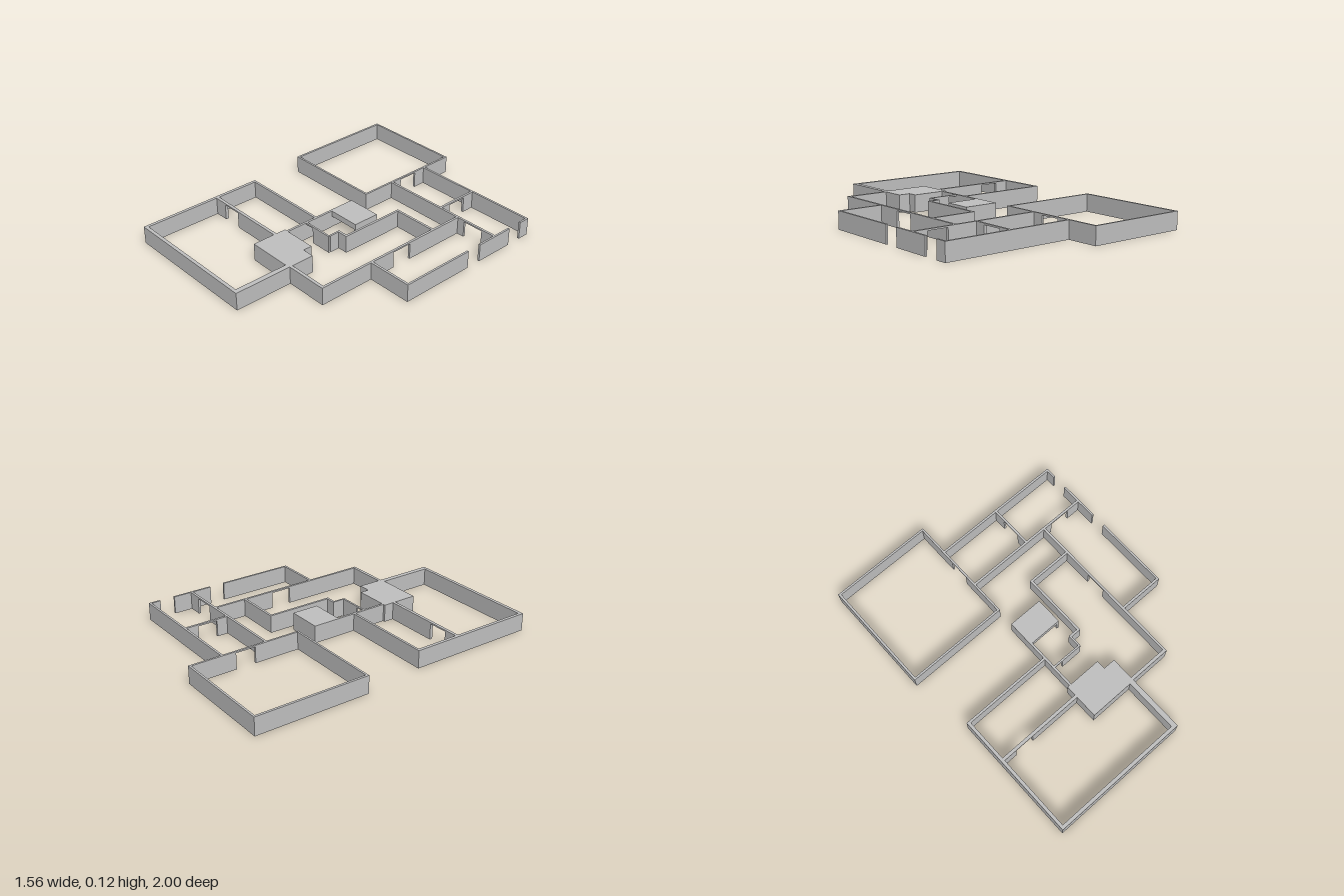
import * as THREE from 'three';

const H = 0.115;      // wall height
const DOOR = 0.105;   // doorway height

export function createModel() {
  const model = new THREE.Group();
  model.name = 'floorPlanWalls';
  const plaster = new THREE.MeshStandardMaterial({ color: 0xc0c0c0 });
  plaster.name = 'greyPlaster';

  function box(parent, name, x0, z0, x1, z1, y0 = 0, y1 = H) {
    const m = new THREE.Mesh(new THREE.BoxGeometry(x1 - x0, y1 - y0, z1 - z0), plaster);
    m.position.set((x0 + x1) / 2, (y0 + y1) / 2, (z0 + z1) / 2);
    m.name = name;
    parent.add(m);
  }

  // Straight wall; an optional doorway [from, to] runs along its long axis
  function wall(parent, name, x0, z0, x1, z1, door) {
    if (!door) return box(parent, name, x0, z0, x1, z1);
    const [a, b] = door;
    if (x1 - x0 > z1 - z0) {
      if (a > x0) box(parent, name, x0, z0, a, z1);
      box(parent, name, b, z0, x1, z1);
      box(parent, name + 'Lintel', a, z0, b, z1, DOOR, H);
    } else {
      box(parent, name, x0, z0, x1, a);
      box(parent, name, x0, b, x1, z1);
      box(parent, name + 'Lintel', x0, a, x1, b, DOOR, H);
    }
  }

  function room(name, walls) {
    const g = new THREE.Group();
    g.name = name;
    walls.forEach(w => wall(g, ...w));
    model.add(g);
    return g;
  }

  // Large square room at the back
  room('largeRoom', [
    ['northWall', -0.78, -1, -0.1, -0.987],
    ['southWall', -0.78, -0.268, -0.1, -0.255],
    ['westWall', -0.78, -0.987, -0.765, -0.268],
    ['eastWall', -0.113, -0.987, -0.1, -0.268, [-0.695, -0.565]],
  ]);

  // Two rooms along the back
  room('backRooms', [
    ['northWall', -0.1, -0.79, 0.775, -0.776],
    ['southWall', -0.1, -0.495, 0.775, -0.48, [0.53, 0.67]],
    ['divider', 0.318, -0.776, 0.333, -0.495, [-0.695, -0.565]],
    ['eastCorner', 0.762, -0.776, 0.775, -0.715],
    ['eastWall', 0.762, -0.615, 0.775, -0.495],
    ['eastReturn', 0.762, -0.48, 0.775, -0.35],
  ]);

  // Side room on the left
  room('sideRoom', [
    ['eastWall', 0.762, -0.25, 0.775, 0.25],
    ['southWall', 0.48, 0.235, 0.762, 0.25],
  ]);

  // Central room
  room('centralRoom', [
    ['eastWall', 0.465, -0.48, 0.48, 0.62, [-0.065, 0.07]],
    ['northWall', 0.165, -0.275, 0.465, -0.26],
    ['westWall', 0.165, -0.26, 0.18, 0.17],
    ['southWall', 0.2, 0.6, 0.465, 0.62],
  ]);

  // Narrow hall
  room('hall', [
    ['westWall', -0.11, 0.04, -0.095, 0.39],
    ['southWall', -0.095, 0.236, 0.11, 0.248, [-0.095, -0.035]],
    ['eastWall', 0.1, 0.155, 0.112, 0.236],
    ['eastReturn', 0.112, 0.155, 0.165, 0.17],
  ]);

  // Roofed niche, open to the hall
  const niche = room('niche', [
    ['northWall', -0.11, -0.138, 0.12, -0.125],
    ['westWall', -0.11, -0.125, -0.097, 0.04],
    ['eastWall', 0.107, -0.125, 0.12, 0.04],
  ]);
  box(niche, 'roof', -0.097, -0.125, 0.107, 0.04, 0.077, H);

  // Two front rooms on the right
  room('frontRooms', [
    ['westWall', -0.72, 0.155, -0.7, 1],
    ['northWall', -0.7, 0.155, -0.11, 0.17],
    ['divider', -0.7, 0.455, -0.125, 0.475, [-0.61, -0.48]],
    ['southWall', -0.7, 0.978, 0.2, 1],
    ['eastWall', 0.168, 0.625, 0.2, 0.978],
  ]);

  // Roofed closet with a stepped corner
  const closet = room('closet', [
    ['northWall', -0.125, 0.39, 0.12, 0.405],
    ['stepSide', 0.105, 0.405, 0.12, 0.45],
    ['stepWall', 0.105, 0.45, 0.2, 0.465],
    ['eastWall', 0.18, 0.465, 0.2, 0.605],
    ['southWall', -0.125, 0.605, 0.2, 0.625],
    ['westWall', -0.125, 0.405, -0.105, 0.605],
  ]);
  box(closet, 'roof', -0.105, 0.405, 0.105, 0.605, 0.1, H);
  box(closet, 'roofStep', 0.105, 0.465, 0.18, 0.605, 0.1, H);

  return model;
}
